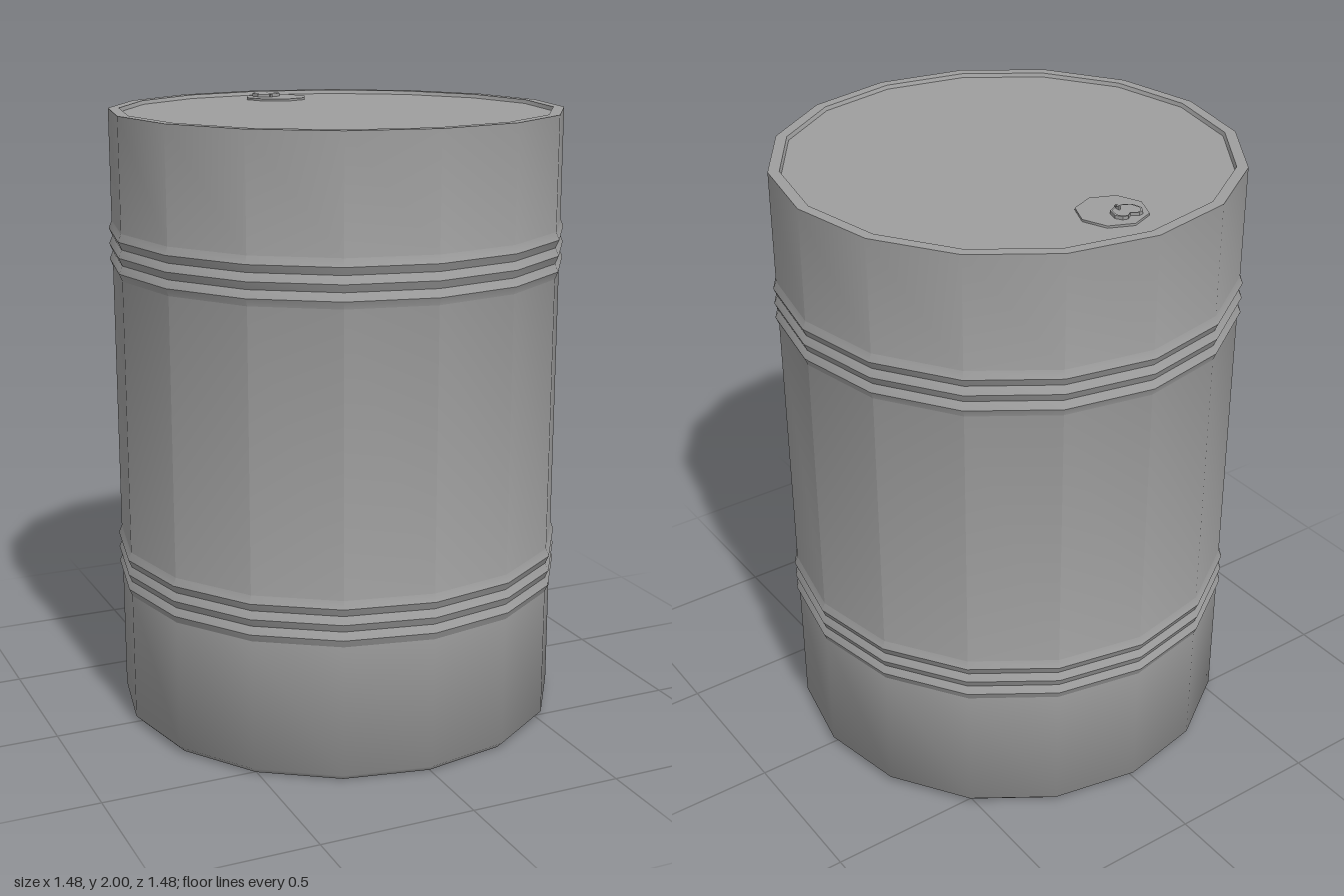
import * as THREE from 'three';
import { toCreasedNormals } from 'three/addons/utils/BufferGeometryUtils.js';

const material = new THREE.MeshStandardMaterial({ color: 0x9e9e9e });

function part(name, geometry) {
  const mesh = new THREE.Mesh(geometry, material);
  mesh.name = name;
  return mesh;
}

// Turned part: profile of [radius, y] pairs, sharp where it bends more than the crease angle
function turned(name, profile, crease) {
  const points = profile.map(([r, y]) => new THREE.Vector2(r, y));
  return part(name, toCreasedNormals(new THREE.LatheGeometry(points, 16), crease));
}

// Three sharp ridges around the shell, the lowest peak at height y
function ridges(y) {
  const profile = [[0.73, y - 0.024]];
  for (let i = 0; i < 3; i++) {
    const peak = y + i * 0.05;
    profile.push([0.74, peak], [i < 2 ? 0.729 : 0.73, peak + 0.025]);
  }
  return profile;
}

// Six-sided outline with a notch at the back, scaled about its centre
function plugOutline(scale, Type) {
  const half = [[0, 0.024], [0.02, 0.038], [0.036, 0.034], [0.048, 0.014], [0.04, -0.02], [0.014, -0.034]];
  const mirrored = half.slice(1).reverse().map(([x, y]) => [-x, y]);
  return new Type([...half, ...mirrored].map(([x, y]) => new THREE.Vector2(x * scale, y * scale)));
}

export function createModel() {
  const barrel = new THREE.Group();
  barrel.name = 'barrel';

  // Base disc and foot, softly shaded into the chamfer
  const base = part('base', new THREE.CircleGeometry(0.71, 16));
  base.rotation.x = Math.PI / 2;
  barrel.add(base);
  barrel.add(turned('foot', [[0.71, 0], [0.73, 0.02], [0.73, 0.446]], 1));

  // Shell with two ridge bands, flat rim and a shallow step down to the lid
  barrel.add(turned('shell', [
    ...ridges(0.47),
    ...ridges(1.51),
    [0.73, 1.995], [0.695, 1.995], [0.69, 1.983],
  ], 0.45));

  // Recessed lid
  const lid = part('lid', new THREE.CircleGeometry(0.69, 16));
  lid.rotation.x = -Math.PI / 2;
  lid.position.y = 1.983;
  barrel.add(lid);

  // Filler cap near the back: flat flange with a raised, notched lip and a small tab
  const cap = new THREE.Group();
  cap.name = 'fillerCap';
  const flange = part('capFlange', toCreasedNormals(new THREE.CylinderGeometry(0.107, 0.107, 0.007, 8), 0.9));
  flange.position.set(0, 1.9865, -0.515);
  cap.add(flange);

  const outline = plugOutline(1, THREE.Shape);
  outline.holes.push(plugOutline(0.86, THREE.Path));
  const lip = part('capLip', new THREE.ExtrudeGeometry(outline, { depth: 0.01, bevelEnabled: false }));
  lip.rotation.x = -Math.PI / 2;
  lip.position.set(-0.02, 1.99, -0.55);
  cap.add(lip);

  const tab = part('capTab', new THREE.BoxGeometry(0.006, 0.01, 0.02));
  tab.position.set(-0.02, 1.995, -0.515);
  cap.add(tab);
  barrel.add(cap);

  return barrel;
}
